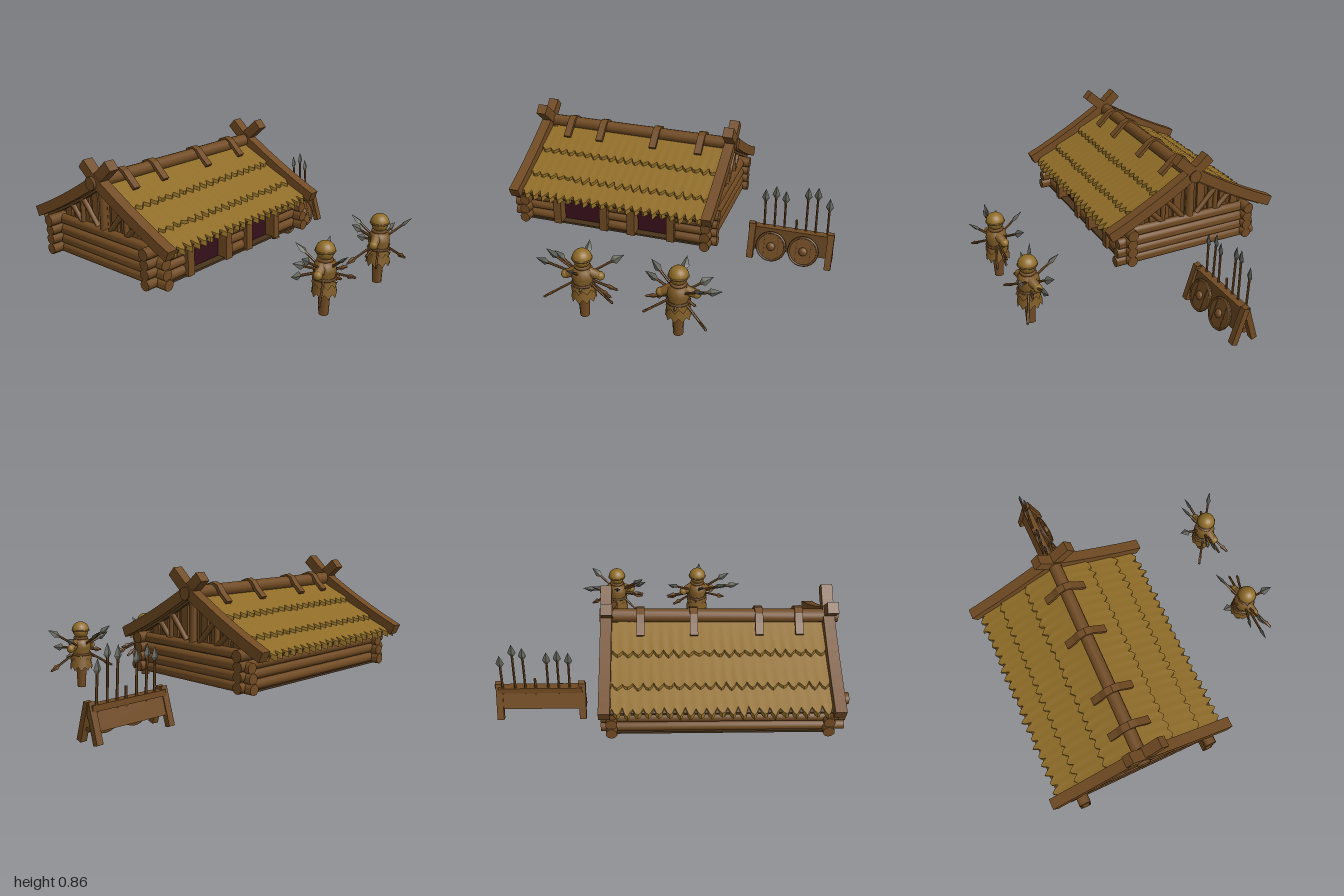
import * as THREE from 'three';
import { toCreasedNormals } from 'three/addons/utils/BufferGeometryUtils.js';

const mat = (name, color, side = THREE.FrontSide) =>
  Object.assign(new THREE.MeshStandardMaterial({ color, side }), { name });
const V = (x, y, z) => new THREE.Vector3(x, y, z);

export function createModel() {
  const root = new THREE.Group();
  root.name = 'trainingCamp';
  const wood = mat('wood', 0x704a22), darkWood = mat('dark wood', 0x5f3f1d);
  const straw = mat('straw', 0x8f6c27, THREE.DoubleSide), sack = mat('sackcloth', 0x7c5925, THREE.DoubleSide);
  const metal = mat('metal', 0x62625a), door = mat('dark red', 0x36101a), earth = mat('floor brown', 0x4a341c);

  let seed = 7;
  const rnd = () => (seed = (seed * 16807) % 2147483647) / 2147483647;

  const add = (parent, name, geo, material, x = 0, y = 0, z = 0) => {
    const m = new THREE.Mesh(geo, material);
    m.name = name;
    m.position.set(x, y, z);
    parent.add(m);
    return m;
  };
  const box = (p, name, m, w, h, d, x, y, z) => add(p, name, new THREE.BoxGeometry(w, h, d), m, x, y, z);
  const aim = (obj, a, b) => {
    obj.position.copy(a);
    obj.quaternion.setFromUnitVectors(V(0, 1, 0), b.clone().sub(a).normalize());
    return obj;
  };
  // round log between two points
  const log = (p, name, m, a, b, r, sides = 10, r2 = r) => {
    const len = a.distanceTo(b);
    const g = new THREE.CylinderGeometry(r2, r, len, sides).translate(0, len / 2, 0);
    return aim(add(p, name, toCreasedNormals(g, 0.9), m), a, b);
  };
  // profile of [z, y] points extruded along x
  const sweepX = (pts, x0, x1) => {
    const s = new THREE.Shape(pts.map(([z, y]) => new THREE.Vector2(-z, y)));
    return new THREE.ExtrudeGeometry(s, { depth: x1 - x0, bevelEnabled: false })
      .rotateY(Math.PI / 2).translate(x0, 0, 0);
  };
  // bent board of even thickness following [z, y] points
  const ribbon = (pts, t, x0, x1) => {
    const side = (s) => pts.map((p, i) => {
      const a = pts[Math.max(i - 1, 0)], b = pts[Math.min(i + 1, pts.length - 1)];
      const l = Math.hypot(b[0] - a[0], b[1] - a[1]);
      return [p[0] - s * t / 2 * (b[1] - a[1]) / l, p[1] + s * t / 2 * (b[0] - a[0]) / l];
    });
    return sweepX([...side(1), ...side(-1).reverse()], x0, x1);
  };

  // ---------- hut ----------
  const hut = new THREE.Group();
  hut.name = 'hut';
  root.add(hut);
  const ZC = -0.33;
  const roofY = (d) => 0.735 - 0.63 * d + 0.17 * d * d; // sagging roof line
  const range = (a, b, n) => Array.from({ length: n + 1 }, (_, i) => a + (b - a) * i / n);

  box(hut, 'floor', earth, 1.2, 0.012, 0.86, -0.305, 0.228, -0.32);
  box(hut, 'wallCore', darkWood, 1.12, 0.22, 0.76, -0.305, 0.342, ZC);

  // front and back log walls, with openings in the front
  const rows = [0.255, 0.315, 0.37];
  rows.forEach((y) => {
    log(hut, 'backLog', wood, V(-0.985, y, -0.715), V(0.345, y, -0.715), 0.032);
    [[-0.985, -0.69], [-0.37, -0.2], [0.05, 0.345]].forEach(([a, b]) =>
      log(hut, 'frontLog', wood, V(a, y, 0.075), V(b, y, 0.075), 0.032));
  });
  [0.075, -0.715].forEach((z) =>
    log(hut, 'topPlate', wood, V(-0.99, 0.428, z), V(0.352, 0.428, z), 0.034));
  [-0.685, -0.375, -0.195, 0.06].forEach((x) =>
    box(hut, 'doorPost', wood, 0.05, 0.185, 0.07, x, 0.315, 0.09));
  [[-0.53, 0.27], [-0.07, 0.22]].forEach(([x, w]) =>
    box(hut, 'doorway', door, w, 0.18, 0.008, x, 0.315, 0.056));

  // side log walls and gables
  [-0.895, 0.285].forEach((x) => {
    const s = x > 0 ? 1 : -1;
    [0.25, 0.305, 0.362].forEach((y, i) =>
      log(hut, 'sideLog', wood, V(x, y, 0.165 - i * 0.008), V(x, y, -0.785 + i * 0.008), 0.032));
    log(hut, 'gableBeam', wood, V(x, 0.425, 0.06), V(x, 0.425, -0.72), 0.03);
    const gx = x - s * 0.012;
    range(-0.32, 0.32, 8).forEach((d) =>
      box(hut, 'gablePlank', wood, 0.03, roofY(Math.abs(d)) - 0.47, 0.05, gx - s * 0.008,
        0.43 + (roofY(Math.abs(d)) - 0.47) / 2, ZC + d));
    log(hut, 'kingPost', wood, V(x, 0.43, ZC), V(x, 0.7, ZC), 0.025);
    [-1, 1].forEach((k) => {
      log(hut, 'gableBrace', wood, V(x, 0.45, ZC + k * 0.05), V(x, 0.585, ZC + k * 0.17), 0.016, 8);
      log(hut, 'gableBrace', wood, V(x, 0.45, ZC + k * 0.19), V(x, 0.53, ZC + k * 0.27), 0.016, 8);
      log(hut, 'gableStud', wood, V(x, 0.44, ZC + k * 0.18), V(x, 0.6, ZC + k * 0.18), 0.015, 8);
    });
  });

  // gable filling and roof deck
  const fill = range(-0.39, 0.39, 12).map((d) => [ZC + d, roofY(Math.abs(d)) - 0.045]);
  add(hut, 'gableFill', sweepX([[ZC - 0.39, 0.43], ...fill, [ZC + 0.39, 0.43]].reverse(), -0.875, 0.265), darkWood);
  const deck = range(-0.5, 0.5, 16).map((d) => [ZC + d, roofY(Math.abs(d)) - 0.04]);
  add(hut, 'roofDeck', ribbon(deck, 0.02, -0.91, 0.3), darkWood);

  // thatch layers with ragged lower edges
  const thatch = (k, d0, d1, lift, drop, jag) => {
    const cols = 88, R = 5, pos = [], idx = [];
    let amp = 0.7;
    for (let i = 0; i <= cols; i++) {
      if (i % 4 === 0) amp = 0.5 + rnd() * 0.6;
      const end = d1 + jag * (amp * [1, 0.45, -0.6, 0.45][i % 4] + (rnd() - 0.5) * 0.3);
      const x = -0.915 + 1.22 * i / cols;
      for (let r = 0; r <= R; r++) {
        const t = Math.min(r, R - 1) / (R - 1), d = d0 + (end - d0) * t;
        pos.push(x, roofY(d) - 0.03 + lift * t - (r === R ? drop : 0), ZC + k * d);
      }
    }
    for (let i = 0; i < cols; i++) for (let r = 0; r < R; r++) {
      const a = i * (R + 1) + r, b = a + R + 1;
      idx.push(...(k > 0 ? [a, a + 1, b, b, a + 1, b + 1] : [a, b, a + 1, b, b + 1, a + 1]));
    }
    const g = new THREE.BufferGeometry();
    g.setAttribute('position', new THREE.Float32BufferAttribute(pos, 3));
    g.setIndex(idx);
    add(hut, 'thatch', toCreasedNormals(g, 0.6), straw);
  };
  [1, -1].forEach((k) => {
    thatch(k, 0.3, 0.5, 0.012, 0.03, 0.03);
    thatch(k, 0.14, 0.37, 0.022, 0.02, 0.022);
    thatch(k, 0, 0.2, 0.026, 0.02, 0.018);
  });

  // crossed bargeboards, ridge log and ridge straps
  [[1, -0.095], [-1, -0.115]].forEach(([k, top]) => {
    const pts = range(top, 0.545, 10).map((d) => [ZC + k * d, roofY(d) + (d < 0 ? -d * 0.25 : 0)]);
    if (k > 0) pts.reverse();
    [-0.92, 0.312].forEach((x) =>
      add(hut, 'bargeboard', ribbon(pts, 0.062, x - 0.031 - k * 0.003, x + 0.031 - k * 0.003), wood));
  });
  log(hut, 'ridgeLog', wood, V(-0.97, 0.722, -0.345), V(0.352, 0.722, -0.325), 0.038, 12);
  const strap = [[-0.45, 0.665], [-0.4, 0.71], [-0.37, 0.75], [-0.335, 0.763], [-0.3, 0.75], [-0.26, 0.71], [-0.215, 0.67]];
  [-0.75, -0.53, -0.17, 0.125].forEach((x) =>
    add(hut, 'ridgeStrap', ribbon(strap, 0.02, x - 0.022, x + 0.022), wood));

  // ---------- spears ----------
  const leaf = (len, w) => {
    const pts = [[0.006, 0], [w, len * 0.3], [w * 0.6, len * 0.62], [0, len]].map((p) => new THREE.Vector2(...p));
    return toCreasedNormals(new THREE.LatheGeometry(pts, 4).scale(1, 1, 0.45), 0.3);
  };
  const spear = (p, a, b, tail) => {
    const g = new THREE.Group();
    g.name = 'spear';
    p.add(g);
    const dir = b.clone().sub(a).normalize();
    const neck = b.clone().addScaledVector(dir, -0.085);
    log(g, 'spearShaft', wood, a, neck.clone().addScaledVector(dir, 0.01), 0.0075, 6);
    aim(add(g, 'spearHead', leaf(0.085, 0.024), metal), neck, b);
    if (tail) aim(add(g, 'spearTail', leaf(0.075, 0.017), wood), a.clone().addScaledVector(dir, 0.065), a);
  };

  // ---------- weapon rack ----------
  const rack = new THREE.Group();
  rack.name = 'weaponRack';
  root.add(rack);
  const tilt = 0.3;
  [0.483, 0.977].forEach((x) => [-1, 1].forEach((k) => {
    const leg = box(rack, 'rackLeg', wood, 0.04, 0.225, 0.035, x + k * 0.003, 0.11, -0.28 + k * 0.034);
    leg.rotation.x = -k * tilt;
  }));
  [-1, 1].forEach((k) => {
    const panel = box(rack, 'rackPanel', k > 0 ? darkWood : wood, 0.48, 0.13, 0.012, 0.73, 0.13, -0.285 + k * 0.028);
    panel.rotation.x = -k * tilt;
  });
  box(rack, 'rackRail', wood, 0.5, 0.035, 0.05, 0.73, 0.187, -0.29);
  log(rack, 'rackBar', wood, V(0.47, 0.075, -0.28), V(0.99, 0.075, -0.28), 0.016, 8);
  [0.617, 0.82].forEach((x) => {
    const shield = new THREE.Group();
    shield.name = 'shield';
    shield.position.set(x, 0.097, -0.228);
    shield.rotation.x = -tilt;
    rack.add(shield);
    const disc = new THREE.CylinderGeometry(0.092, 0.092, 0.018, 28).rotateX(Math.PI / 2);
    add(shield, 'shieldDisc', toCreasedNormals(disc, 0.7), wood);
    add(shield, 'shieldRim', new THREE.TorusGeometry(0.089, 0.008, 6, 28), darkWood, 0, 0, 0.006);
    add(shield, 'shieldBoss', new THREE.SphereGeometry(0.027, 14, 8).scale(1, 1, 0.7), wood, 0, 0, 0.01);
    [-0.045, 0.045].forEach((sx) => box(shield, 'shieldSeam', darkWood, 0.005, 0.145, 0.004, sx, 0, 0.009));
  });
  [[0.55, 0.455], [0.613, 0.48], [0.677, 0.46], [0.812, 0.5], [0.873, 0.515], [0.947, 0.445]].forEach(([x, y], i) =>
    spear(rack, V(x + 0.006, 0.1, -0.3), V(x, y, -0.305 - (i % 2) * 0.012)));
  log(rack, 'brokenShaft', wood, V(0.757, 0.15, -0.305), V(0.755, 0.27, -0.305), 0.008, 6);

  // ---------- training dummies ----------
  const skirt = (r0, r1, h, n) => {
    const g = new THREE.CylinderGeometry(r0, r1, h, n * 2, 1, true);
    const p = g.attributes.position;
    for (let i = 0; i < p.count; i++)
      if (p.getY(i) < 0 && (i % (n * 2 + 1)) % 2) p.setY(i, p.getY(i) + 0.028);
    return toCreasedNormals(g, 0.8);
  };
  const dummy = (x, tips) => {
    const d = new THREE.Group();
    d.name = 'trainingDummy';
    d.position.set(x, 0, 0.705);
    root.add(d);
    log(d, 'post', wood, V(0, 0.014, 0), V(0, 0.18, 0), 0.028, 10, 0.036);
    const body = [[0, 0.15], [0.05, 0.155], [0.06, 0.2], [0.055, 0.235], [0.066, 0.28], [0.058, 0.32], [0.03, 0.345], [0, 0.35]];
    add(d, 'torso', new THREE.LatheGeometry(body.map((p) => new THREE.Vector2(...p)), 16), sack);
    add(d, 'skirt', skirt(0.058, 0.072, 0.085, 10), sack, 0, 0.172, 0);
    add(d, 'tunicHem', skirt(0.062, 0.07, 0.06, 9), sack, 0, 0.215, 0);
    add(d, 'belt', new THREE.TorusGeometry(0.06, 0.009, 6, 18).rotateX(Math.PI / 2), darkWood, 0, 0.235, 0);
    add(d, 'neckRope', new THREE.TorusGeometry(0.038, 0.01, 6, 16).rotateX(Math.PI / 2), wood, 0, 0.34, 0);
    add(d, 'head', new THREE.SphereGeometry(0.05, 18, 12), straw, 0, 0.385, 0);
    add(d, 'cap', new THREE.SphereGeometry(0.056, 18, 8, 0, Math.PI * 2, 0, Math.PI / 2), straw, 0, 0.39, 0);
    add(d, 'capRim', new THREE.TorusGeometry(0.053, 0.006, 6, 18).rotateX(Math.PI / 2), sack, 0, 0.39, 0);
    [-1, 1].forEach((s) => {
      log(d, 'arm', sack, V(s * 0.035, 0.305, 0), V(s * 0.09, 0.282, s * -0.02), 0.032, 10, 0.024);
      add(d, 'fist', new THREE.SphereGeometry(0.026, 12, 8), straw, s * 0.095, 0.28, s * -0.02);
    });
    // spears run through the chest, heads high and tails low
    tips.forEach(([tx, ty, tz, k]) =>
      spear(d, V(-tx * k, 0.27 - (ty - 0.27) * k, -tz * k), V(tx, ty, tz), true));
  };
  dummy(-0.255, [[-0.29, 0.33, -0.01, 0.7], [-0.215, 0.41, 0.0, 0.75], [0.205, 0.385, -0.11, 0.95],
    [-0.03, 0.4, -0.18, 0.4], [-0.02, 0.4, 0.16, 0.4], [-0.2, 0.36, -0.07, 1]]);
  dummy(0.3, [[-0.18, 0.41, -0.08, 1], [-0.2, 0.36, -0.03, 0.5], [0.235, 0.315, -0.03, 0.75],
    [0.175, 0.395, 0.115, 0.95], [-0.01, 0.4, -0.19, 0.4], [0.17, 0.36, -0.09, 1]]);

  return root;
}
